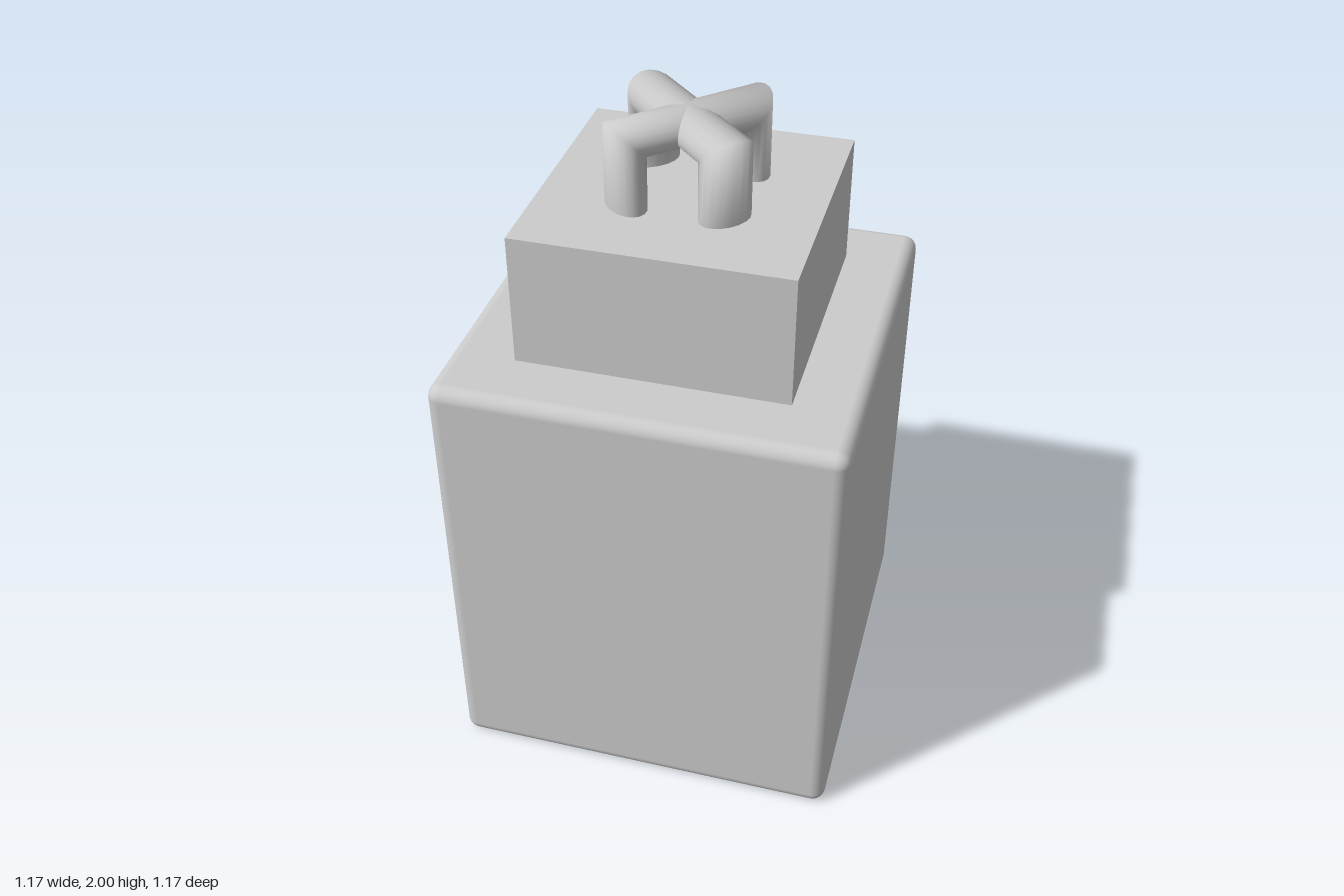
import * as THREE from 'three';
import { RoundedBoxGeometry } from 'three/addons/geometries/RoundedBoxGeometry.js';
import { mergeVertices } from 'three/addons/utils/BufferGeometryUtils.js';

const BODY = { width: 1.166, height: 1.365 };
const NECK = { width: 0.78, top: 1.755 };
const ARCH = { reach: 0.194, thick: 0.052, wide: 0.077 };

// Square mitred arch with an oval section: each row of an open cylinder becomes one ring of the bend.
function archGeometry() {
  const geo = new THREE.CylinderGeometry(1, 1, 3, 18, 3, true);
  geo.deleteAttribute('uv');
  geo.deleteAttribute('normal');
  const pos = geo.attributes.position;
  const barY = 2 - ARCH.thick;
  for (let i = 0; i < pos.count; i++) {
    const row = Math.round(pos.getY(i) + 1.5); // 0 left foot, 1 left corner, 2 right corner, 3 right foot
    const side = row < 2 ? -1 : 1;
    const corner = row === 1 || row === 2;
    const out = -pos.getX(i) * ARCH.thick;
    pos.setXYZ(i,
      side * (ARCH.reach + out),
      corner ? barY + out : NECK.top - 0.005,
      pos.getZ(i) * ARCH.wide);
  }
  const merged = mergeVertices(geo, 1e-5);
  merged.computeVertexNormals();
  return merged;
}

export function createModel() {
  const group = new THREE.Group();
  const material = new THREE.MeshStandardMaterial({ color: 0xcccccc });
  const add = (name, geometry, y = 0) => {
    const mesh = new THREE.Mesh(geometry, material);
    mesh.name = name;
    mesh.position.y = y;
    group.add(mesh);
    return mesh;
  };

  // Soft-edged main block
  add('body', new RoundedBoxGeometry(BODY.width, BODY.height, BODY.width, 4, 0.04), BODY.height / 2);

  // Sharp-edged block on top
  const neckHeight = NECK.top - BODY.height;
  add('neck', new THREE.BoxGeometry(NECK.width, neckHeight, NECK.width), BODY.height + neckHeight / 2);

  // Two crossed handles on the diagonals
  const arch = archGeometry();
  add('handleA', arch).rotation.y = Math.PI / 4;
  add('handleB', arch).rotation.y = -Math.PI / 4;

  return group;
}
